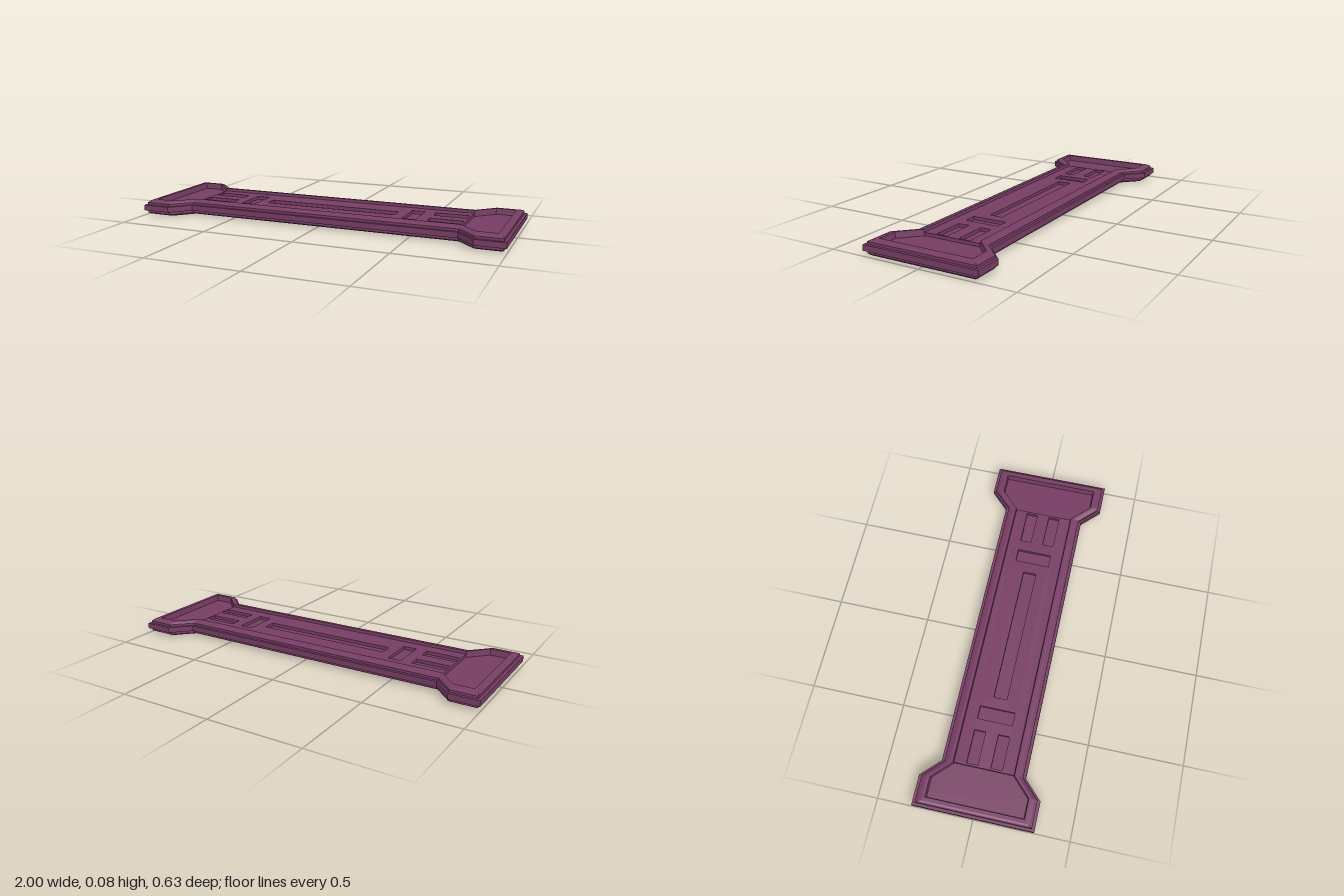
import * as THREE from 'three';

const material = new THREE.MeshStandardMaterial({ color: 0x763c63, flatShading: true });

// Flared-bar outline, counter-clockwise from above, pulled in by dx at the ends and dz at the sides
function outline(dx, dz) {
  const half = [[1 - dx, 0.315 - dz], [0.845, 0.315 - dz], [0.75, 0.22 - dz]];
  const back = [...half, ...half.map(([x, y]) => [-x, y]).reverse()];
  const front = back.map(([x, y]) => [-x, -y]);
  return [...back, ...front].map(([x, y]) => new THREE.Vector2(x, y));
}

// Skin joining a stack of outlines, each given as [dx, dz, height]
function loft(levels) {
  const pos = [];
  const rings = levels.map(([dx, dz, h]) => outline(dx, dz).map(p => [p.x, h, -p.y]));
  for (let k = 0; k < rings.length - 1; k++) {
    const lo = rings[k], hi = rings[k + 1], n = lo.length;
    for (let i = 0; i < n; i++) {
      const j = (i + 1) % n;
      pos.push(...lo[i], ...lo[j], ...hi[j], ...lo[i], ...hi[j], ...hi[i]);
    }
  }
  const g = new THREE.BufferGeometry();
  g.setAttribute('position', new THREE.Float32BufferAttribute(pos, 3));
  g.computeVertexNormals();
  return g;
}

// Flat cap across one level, facing up or down
function cap([dx, dz, h], up) {
  const g = new THREE.ShapeGeometry(new THREE.Shape(outline(dx, dz)));
  return g.rotateX(up ? -Math.PI / 2 : Math.PI / 2).translate(0, h, 0);
}

function rect(path, x0, x1, y0, y1) {
  path.moveTo(x0, y0);
  path.lineTo(x1, y0);
  path.lineTo(x1, y1);
  path.lineTo(x0, y1);
  path.closePath();
  return path;
}

export function createModel() {
  const group = new THREE.Group();
  group.name = 'plate';
  const add = (name, geometry) => {
    const mesh = new THREE.Mesh(geometry, material);
    mesh.name = name;
    group.add(mesh);
  };

  // Bevelled base, protruding middle band, bevelled rim and inner wall
  const levels = [
    [0.03, 0.045, 0], [0.022, 0.03, 0.004], [0.015, 0.015, 0.012],
    [0.015, 0.015, 0.027], [0, 0, 0.027], [0, 0, 0.057], [0.015, 0.015, 0.057],
    [0.015, 0.015, 0.07], [0.022, 0.03, 0.078], [0.03, 0.045, 0.082],
    [0.05, 0.06, 0.082], [0.055, 0.064, 0.05],
  ];
  add('frame', loft(levels));
  add('underside', cap(levels[0], false));
  add('recessedFloor', cap(levels[levels.length - 1], true));

  // Raised middle panel with cut-out slots
  const panel = rect(new THREE.Shape(), -0.748, 0.748, -0.157, 0.157);
  const slot = (...r) => panel.holes.push(rect(new THREE.Path(), ...r));
  slot(-0.37, 0.37, -0.035, 0.035);
  for (const s of [-1, 1]) {
    const span = (a, b) => (s > 0 ? [a, b] : [-b, -a]);
    slot(...span(0.43, 0.5), -0.093, 0.093);
    slot(...span(0.56, 0.737), 0.034, 0.093);
    slot(...span(0.56, 0.737), -0.093, -0.034);
  }
  const panelGeometry = new THREE.ExtrudeGeometry(panel, { depth: 0.017, bevelEnabled: false });
  add('slottedPanel', panelGeometry.rotateX(-Math.PI / 2).translate(0, 0.05, 0));

  return group;
}
